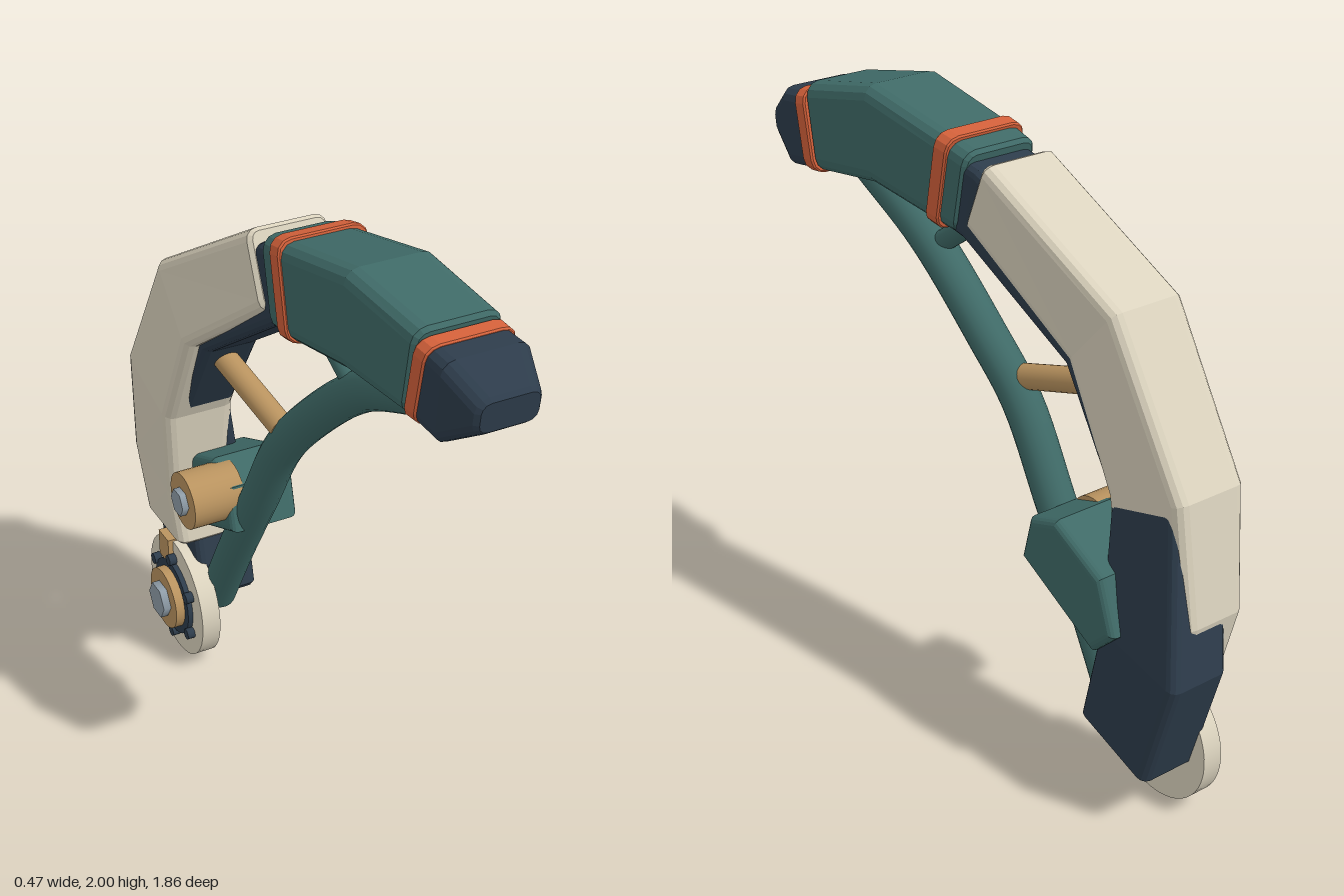
import * as THREE from 'three';

const mat = (name, color) => {
  const m = new THREE.MeshStandardMaterial({ color });
  m.name = name;
  return m;
};

export function createModel() {
  const navy = mat('navy', 0x2d3c4b), teal = mat('teal', 0x3f6a67), cream = mat('cream', 0xdbd3be);
  const orange = mat('orange', 0xd2603a), tan = mat('tan', 0xb9935f), steel = mat('steel', 0x8f9da8);
  const group = new THREE.Group();

  const add = (name, geo, material, pos = [0, 0, 0]) => {
    const m = new THREE.Mesh(geo, material);
    m.name = name;
    m.position.set(...pos);
    group.add(m);
    return m;
  };

  // One rounded-rectangle ring. Section: [outerZ, outerY, innerZ, innerY, xMin, xMax]
  const ring = ([oz, oy, iz, iy, x0, x1], r, inset = 0) => {
    const h = Math.hypot(oz - iz, oy - iy), vz = (oz - iz) / h, vy = (oy - iy) / h;
    const pts = [], w = x1 - x0;
    const corners = [[w - r, r], [w - r, h - r], [r, h - r], [r, r]];
    corners.forEach(([u, v], c) => {
      for (let k = 0; k < 4; k++) {
        const a = (c - 1) * Math.PI / 2 + k * Math.PI / 6, q = r - inset;
        const pu = u + q * Math.cos(a), pv = v + q * Math.sin(a);
        pts.push(new THREE.Vector3(x0 + pu, iy + vy * pv, iz + vz * pv));
      }
    });
    return pts;
  };

  // Loft through sections ordered from the foot to the tip, with softened closed ends
  const loft = (name, sections, material, r = 0.035, bevel = 0.012) => {
    const rings = sections.map(s => ring(s, r));
    const centre = p => p.reduce((s, v) => s.add(v), new THREE.Vector3()).divideScalar(p.length);
    const endRing = (end, next) => {
      const dir = centre(rings[end]).sub(centre(rings[next])).normalize();
      const tip = ring(sections[end], r, bevel);
      rings[end].forEach(p => p.addScaledVector(dir, -bevel));
      return tip;
    };
    if (bevel) {
      const n = rings.length;
      const first = endRing(0, 1), last = endRing(n - 1, n - 2);
      rings.unshift(first);
      rings.push(last);
    }
    const pos = [], tri = (...v) => v.forEach(p => pos.push(p.x, p.y, p.z));
    const n = rings[0].length;
    for (let j = 0; j < rings.length - 1; j++) {
      for (let i = 0; i < n; i++) {
        const k = (i + 1) % n, a = rings[j], b = rings[j + 1];
        tri(a[i], a[k], b[k]);
        tri(a[i], b[k], b[i]);
      }
    }
    const A = rings[0], B = rings[rings.length - 1], ca = centre(A), cb = centre(B);
    for (let i = 0; i < n; i++) {
      const k = (i + 1) % n;
      tri(ca, A[k], A[i]);
      tri(cb, B[i], B[k]);
    }
    const g = new THREE.BufferGeometry();
    g.setAttribute('position', new THREE.Float32BufferAttribute(pos, 3));
    g.computeVertexNormals();
    return add(name, g, material);
  };

  // Dark inner spine, running the whole arc
  loft('spine', [
    [-0.82, 0.19, -0.52, 0.28, -0.10, 0.11],
    [-0.93, 0.58, -0.60, 0.64, -0.10, 0.11],
    [-0.83, 1.11, -0.55, 1.02, -0.15, 0.042],
    [-0.54, 1.57, -0.345, 1.365, -0.15, 0.05],
    [-0.03, 1.87, 0.04, 1.635, -0.11, 0.125],
    [0.44, 1.96, 0.44, 1.72, -0.08, 0.155],
    [0.74, 1.91, 0.69, 1.68, -0.035, 0.205],
  ], navy, 0.03);

  // Pale rear shell
  loft('rearShell', [
    [-0.85, 0.50, -0.56, 0.50, -0.16, 0.03],
    [-0.905, 0.75, -0.585, 0.70, -0.175, 0.04],
    [-0.85, 1.13, -0.54, 1.03, -0.20, 0.046],
    [-0.56, 1.60, -0.365, 1.385, -0.20, 0.056],
    [-0.07, 1.90, 0.025, 1.68, -0.125, 0.13],
  ], cream);

  // Upper front shell
  loft('frontShell', [
    [0.0, 1.91, 0.06, 1.64, -0.12, 0.135],
    [0.10, 1.93, 0.155, 1.65, -0.122, 0.142],
    [0.45, 2.0, 0.44, 1.695, -0.10, 0.178],
    [0.73, 1.945, 0.685, 1.67, -0.05, 0.218],
  ], teal, 0.045);

  // Orange bands
  loft('rearBand', [
    [0.068, 1.937, 0.132, 1.638, -0.13, 0.15],
    [0.122, 1.947, 0.185, 1.648, -0.128, 0.156],
  ], orange, 0.045, 0.005);
  loft('frontBand', [
    [0.728, 1.925, 0.68, 1.663, -0.052, 0.224],
    [0.775, 1.918, 0.727, 1.66, -0.045, 0.23],
  ], orange, 0.045, 0.005);

  // Blunt nose
  loft('nose', [
    [0.74, 1.915, 0.70, 1.668, -0.042, 0.217],
    [0.835, 1.905, 0.815, 1.655, -0.035, 0.23],
    [0.935, 1.83, 0.922, 1.715, 0.015, 0.215],
  ], navy, 0.04);

  // Long curved tube on the inner side
  const path = new THREE.CatmullRomCurve3([
    [0.05, 1.685, 0.62], [0.045, 1.535, 0.32], [0.025, 1.30, 0.05], [0.0, 1.13, -0.09],
    [-0.01, 0.85, -0.245], [-0.015, 0.56, -0.41], [-0.015, 0.25, -0.58],
  ].map(p => new THREE.Vector3(...p)));
  add('innerTube', new THREE.TubeGeometry(path, 40, 0.063, 20), teal);
  [0, 1].forEach(t => {
    const p = path.getPoint(t), d = path.getTangent(t).multiplyScalar(t ? 1 : -1);
    const cap = add('tubeCap', new THREE.CircleGeometry(0.063, 20), teal, p.toArray());
    cap.lookAt(p.clone().add(d));
  });

  // Straight struts
  const strut = (name, a, b, r, material) => {
    const p = new THREE.Vector3(...a), q = new THREE.Vector3(...b), d = q.clone().sub(p);
    const m = add(name, new THREE.CylinderGeometry(r, r, d.length(), 20), material,
      p.clone().add(q).multiplyScalar(0.5).toArray());
    m.quaternion.setFromUnitVectors(new THREE.Vector3(0, 1, 0), d.normalize());
  };
  strut('upperStrut', [0.04, 1.53, 0.27], [0.02, 1.68, 0.06], 0.034, teal);
  strut('middleStrut', [-0.01, 1.205, -0.08], [-0.06, 1.32, -0.46], 0.04, tan);

  // Side pod with rounded rims
  const bev = 0.025;
  const outline = [[0.295, 0.735], [0.325, 0.855], [0.425, 0.893], [0.613, 0.807], [0.668, 0.66], [0.598, 0.59]];
  const pod = add('sidePod', new THREE.ExtrudeGeometry(
    new THREE.Shape(outline.map(p => new THREE.Vector2(...p))),
    { depth: 0.24 - 2 * bev, bevelThickness: bev, bevelSize: bev, bevelSegments: 4 }), teal, [-0.1 + bev, 0, 0]);
  pod.rotation.y = Math.PI / 2;

  // Discs and bolts lying across the arm
  const disc = (name, x0, x1, r, y, z, material, sides = 32) => {
    const m = add(name, new THREE.CylinderGeometry(r, r, x1 - x0, sides), material, [(x0 + x1) / 2, y, z]);
    m.rotation.z = Math.PI / 2;
  };
  disc('pivotHub', -0.218, -0.04, 0.097, 0.817, -0.385, tan);
  disc('pivotBolt', -0.24, -0.215, 0.047, 0.817, -0.385, steel, 6);

  // Foot wheel with ring, studs and hub
  const wy = 0.222, wz = -0.668;
  disc('wheel', -0.137, -0.07, 0.222, wy, wz, cream, 48);
  disc('wheelRing', -0.155, -0.135, 0.14, wy, wz, navy);
  disc('wheelHub', -0.187, -0.15, 0.112, wy, wz, tan);
  disc('wheelBolt', -0.214, -0.185, 0.065, wy, wz, steel, 6);
  for (let i = 0; i < 6; i++) {
    const a = Math.PI / 2 + i * Math.PI / 3;
    disc('wheelStud', -0.164, -0.13, 0.02, wy + 0.155 * Math.sin(a), wz + 0.155 * Math.cos(a), navy, 12);
  }
  add('wheelBracket', new THREE.BoxGeometry(0.07, 0.1, 0.08), tan, [-0.12, 0.40, -0.72]);

  return group;
}
